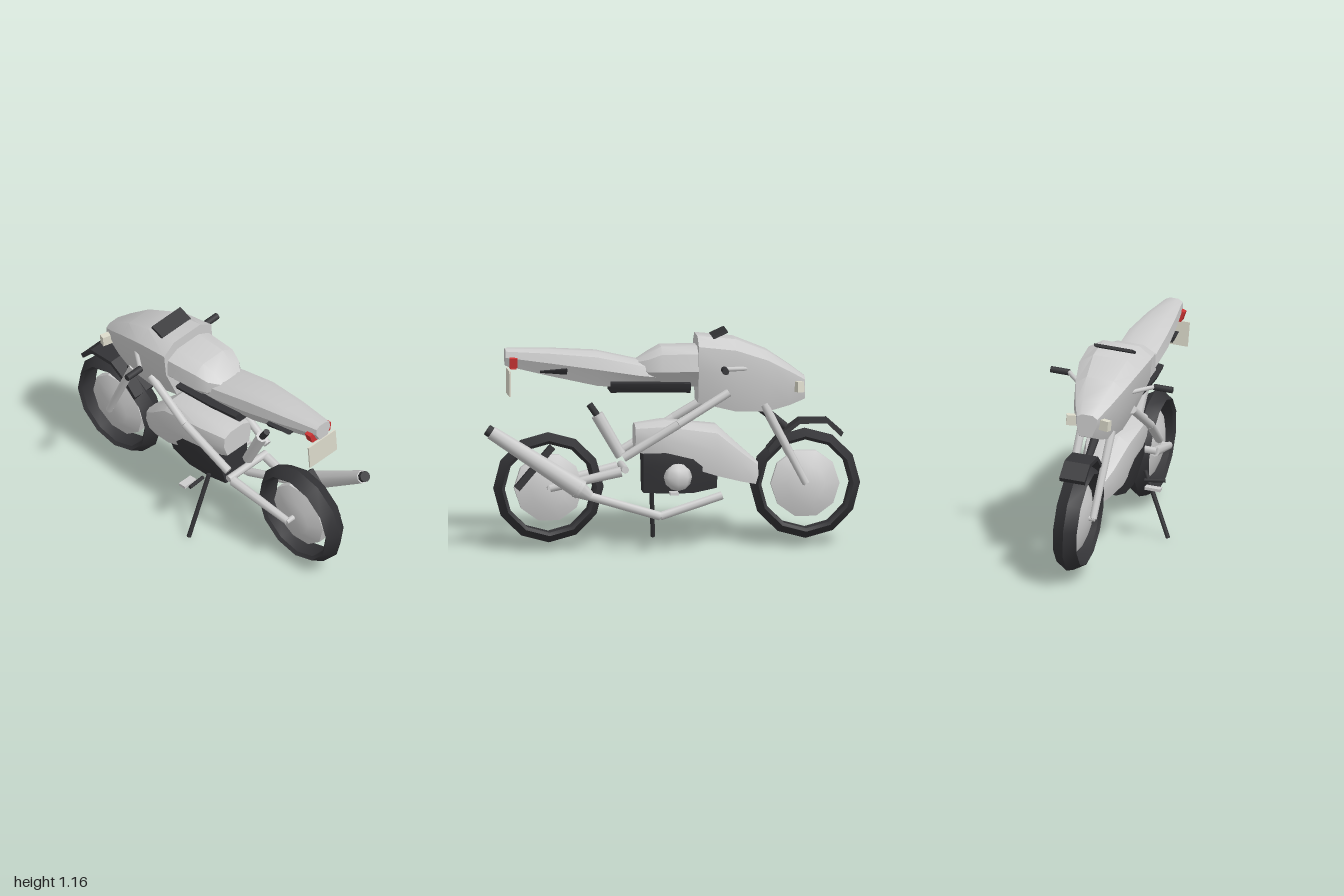
import * as THREE from 'three';
import { toCreasedNormals } from 'three/addons/utils/BufferGeometryUtils.js';

const mat = (color) => new THREE.MeshStandardMaterial({ color, side: THREE.DoubleSide });
const grey = mat(0xcccccc);
const dark = mat(0x333336);
const red = mat(0xcc3333);
const cream = mat(0xdcdacb);
const V = (p) => new THREE.Vector3(...p);

export function createModel() {
  const model = new THREE.Group();
  model.name = 'motorcycle';
  // The whole bike leans over towards its stand
  const bike = new THREE.Group();
  bike.name = 'leaningBike';
  bike.rotation.z = 0.085;
  bike.position.x = 0.086;
  model.add(bike);

  const add = (name, geometry, material, pos = [0, 0, 0], rot = [0, 0, 0]) => {
    const mesh = new THREE.Mesh(geometry, material);
    mesh.name = name;
    mesh.position.set(...pos);
    mesh.rotation.set(...rot);
    bike.add(mesh);
    return mesh;
  };
  const box = (name, size, material, pos, rot) =>
    add(name, new THREE.BoxGeometry(...size), material, pos, rot);

  // Tapered rod between two points
  const rod = (name, a, b, r0, r1, material, sides = 8) => {
    const from = V(a), to = V(b), dir = to.clone().sub(from);
    const mesh = add(name, new THREE.CylinderGeometry(r1, r0, dir.length(), sides), material);
    mesh.position.copy(from).addScaledVector(dir, 0.5);
    mesh.quaternion.setFromUnitVectors(new THREE.Vector3(0, 1, 0), dir.normalize());
  };
  const rods = (name, pts, r, material) => {
    for (let i = 1; i < pts.length; i++) rod(name, pts[i - 1], pts[i], r, r, material);
  };

  // Body shell from sections [z, bottom, top, halfWidth], ordered from +z to -z
  const shell = (name, sections, material, { topW = 0.5, botW = 0.55, waist = 0.5, crease = 0.6 } = {}) => {
    const pos = [], idx = [];
    for (const [z, b, t, w] of sections) {
      const h = t - b, wy = b + h * waist;
      const half = [[botW * w, b], [w, wy], [w * (0.45 + topW * 0.6), wy + (t - wy) * 0.72], [topW * 0.6 * w, t]];
      const ring = [...half, ...half.map(([x, y]) => [-x, y]).reverse()];
      for (const [x, y] of ring) pos.push(x, y, z);
    }
    const n = 8, last = (sections.length - 1) * n;
    for (let i = 0; i < last; i += n) {
      for (let j = 0; j < n; j++) {
        const k = (j + 1) % n, a = i + j, b = i + k, c = b + n, d = a + n;
        idx.push(a, d, b, b, d, c);
      }
    }
    for (let j = 1; j < n - 1; j++) idx.push(0, j, j + 1, last, last + j + 1, last + j);
    const g = new THREE.BufferGeometry();
    g.setAttribute('position', new THREE.Float32BufferAttribute(pos, 3));
    g.setIndex(idx);
    return add(name, toCreasedNormals(g, crease), material);
  };

  // Wheels: pointed tyre tread and a lens-shaped disc
  const lathe = (pts, n) =>
    toCreasedNormals(new THREE.LatheGeometry(pts.map((p) => new THREE.Vector2(...p)), n), 0.6);
  const tyre = [[0.235, -0.05], [0.252, -0.065], [0.292, 0], [0.252, 0.065], [0.235, 0.05], [0.235, -0.05]];
  const disc = [[0, -0.06], [0.1, -0.052], [0.182, -0.02], [0.182, 0.02], [0.1, 0.052], [0, 0.06]];
  for (const [side, z] of [['rear', 0.655], ['front', -0.7]]) {
    add(side + 'Tyre', lathe(tyre, 12), dark, [0, 0.33, z], [0, 0, Math.PI / 2]);
    add(side + 'WheelDisc', lathe(disc, 10), grey, [0, 0.33, z], [0, 0, Math.PI / 2]);
  }

  // Upper bodywork
  shell('tail', [
    [0.88, 0.98, 1.07, 0.052], [0.65, 0.925, 1.066, 0.088], [0.4, 0.87, 1.05, 0.115],
    [0.18, 0.85, 1.0, 0.12], [0.0, 0.85, 0.96, 0.11],
  ], grey, { topW: 0.75 });
  shell('tank', [
    [0.19, 0.95, 1.0, 0.07], [0.13, 0.88, 1.035, 0.125], [0.06, 0.86, 1.072, 0.15], [-0.16, 0.86, 1.072, 0.165],
  ], grey, { topW: 0.8, waist: 0.4 });
  shell('frontFairing', [
    [-0.13, 0.775, 1.128, 0.172], [-0.33, 0.725, 1.108, 0.163], [-0.5, 0.72, 1.04, 0.13],
    [-0.62, 0.75, 0.96, 0.09], [-0.7, 0.78, 0.9, 0.055],
  ], grey, { topW: 0.95, botW: 0.62, waist: 0.5 });
  box('windscreen', [0.21, 0.015, 0.085], dark, [0, 1.133, -0.25], [0.42, 0, 0]);
  shell('seatBase', [[0.33, 0.835, 0.895, 0.115], [0.15, 0.835, 0.895, 0.135], [-0.09, 0.83, 0.89, 0.14]],
    dark, { topW: 1, botW: 0.8 });
  shell('tailIntake', [[0.7, 0.945, 0.955, 0.085], [0.56, 0.935, 0.972, 0.106]], dark, { topW: 1, botW: 0.9 });

  // Rear light and number board
  for (const s of [-1, 1]) box('tailLight', [0.03, 0.05, 0.04], red, [s * 0.058, 1.0, 0.84], [0, 0, -s * 0.25]);
  box('tailLightBar', [0.12, 0.016, 0.03], red, [0, 0.972, 0.84]);
  box('numberBoard', [0.2, 0.135, 0.008], cream, [0, 0.89, 0.862]);

  // Engine and its cowl
  shell('engine', [[0.16, 0.3, 0.53, 0.1], [0.05, 0.295, 0.54, 0.12], [-0.1, 0.295, 0.54, 0.12], [-0.23, 0.32, 0.5, 0.1]],
    dark, { topW: 0.9, botW: 0.7, waist: 0.6 });
  shell('engineCowl', [
    [0.2, 0.52, 0.66, 0.1], [0.05, 0.475, 0.68, 0.135], [-0.23, 0.385, 0.65, 0.13],
    [-0.36, 0.35, 0.53, 0.09], [-0.45, 0.33, 0.45, 0.05],
  ], grey, { topW: 0.75, botW: 0.8 });
  add('engineCover', new THREE.SphereGeometry(0.075, 8, 6), grey, [0.11, 0.385, -0.02]).scale.x = 0.7;

  // Parts on both sides
  for (const s of [-1, 1]) {
    rods('frameTube', [[s * 0.135, 0.83, -0.29], [s * 0.165, 0.67, -0.02], [s * 0.145, 0.495, 0.27]], 0.023, grey);
    rod('swingArm', [s * 0.125, 0.42, 0.28], [s * 0.1, 0.335, 0.655], 0.027, 0.02, grey);
    rod('fork', [s * 0.082, 0.76, -0.48], [s * 0.08, 0.335, -0.7], 0.023, 0.02, grey);
    rod('handlebar', [s * 0.13, 0.955, -0.4], [s * 0.235, 0.965, -0.26], 0.012, 0.012, grey);
    rod('grip', [s * 0.232, 0.963, -0.258], [s * 0.335, 0.963, -0.258], 0.018, 0.018, dark);
    box('headlight', [0.06, 0.055, 0.035], cream, [s * 0.09, 0.85, -0.665], [0, s * 0.3, 0]);
    box('footPeg', [0.085, 0.015, 0.045], grey, [s * 0.205, 0.31, 0.01]);
  }
  rod('axle', [-0.11, 0.335, 0.655], [0.11, 0.335, 0.655], 0.015, 0.015, grey);
  rod('frontAxle', [-0.09, 0.335, -0.7], [0.09, 0.335, -0.7], 0.014, 0.014, grey);
  rod('swingArmPivot', [-0.14, 0.43, 0.26], [0.14, 0.43, 0.26], 0.02, 0.02, grey);
  rod('steeringStem', [0, 0.74, -0.46], [0, 0.63, -0.6], 0.025, 0.02, dark);

  // Rear shock with a dark cap
  rod('shock', [0, 0.49, 0.27], [0, 0.71, 0.395], 0.03, 0.033, grey);
  rod('shockCap', [0, 0.7, 0.39], [0, 0.765, 0.435], 0.018, 0.018, dark);

  // Front mudguard: a flattened arch following the tyre
  const arch = [[-0.9, 0.6], [-0.82, 0.672], [-0.67, 0.672], [-0.57, 0.6], [-0.5, 0.52]];
  const outline = [...arch, ...arch.map(([z, y]) => [z - (z + 0.7) * 0.06, y - 0.022]).reverse()];
  const guard = new THREE.ExtrudeGeometry(
    new THREE.Shape(outline.map(([z, y]) => new THREE.Vector2(-z, y))), { depth: 0.14, bevelEnabled: false });
  add('frontMudguard', guard, dark, [-0.07, 0, 0], [0, Math.PI / 2, 0]);

  // Dark slab beside the rear wheel
  box('rearGuard', [0.045, 0.035, 0.29], dark, [0.088, 0.445, 0.735], [0.86, 0, 0]);

  // Exhaust: header pipe, tapering silencer, dark outlet
  rods('exhaustPipe', [[0.125, 0.285, -0.25], [0.165, 0.185, 0.08], [0.2, 0.315, 0.5]], 0.023, grey);
  rod('silencerNeck', [0.205, 0.3, 0.45], [0.205, 0.345, 0.52], 0.026, 0.052, grey);
  rod('silencer', [0.205, 0.335, 0.5], [0.172, 0.645, 0.97], 0.052, 0.036, grey);
  rod('exhaustOutlet', [0.174, 0.635, 0.955], [0.17, 0.66, 0.992], 0.03, 0.03, dark);

  // Side stand and gear lever
  rod('sideStand', [-0.13, 0.37, 0.1], [-0.29, 0.027, 0.08], 0.012, 0.012, dark);
  rod('gearLever', [-0.14, 0.33, 0.06], [-0.25, 0.34, 0.075], 0.01, 0.01, dark);

  return model;
}
